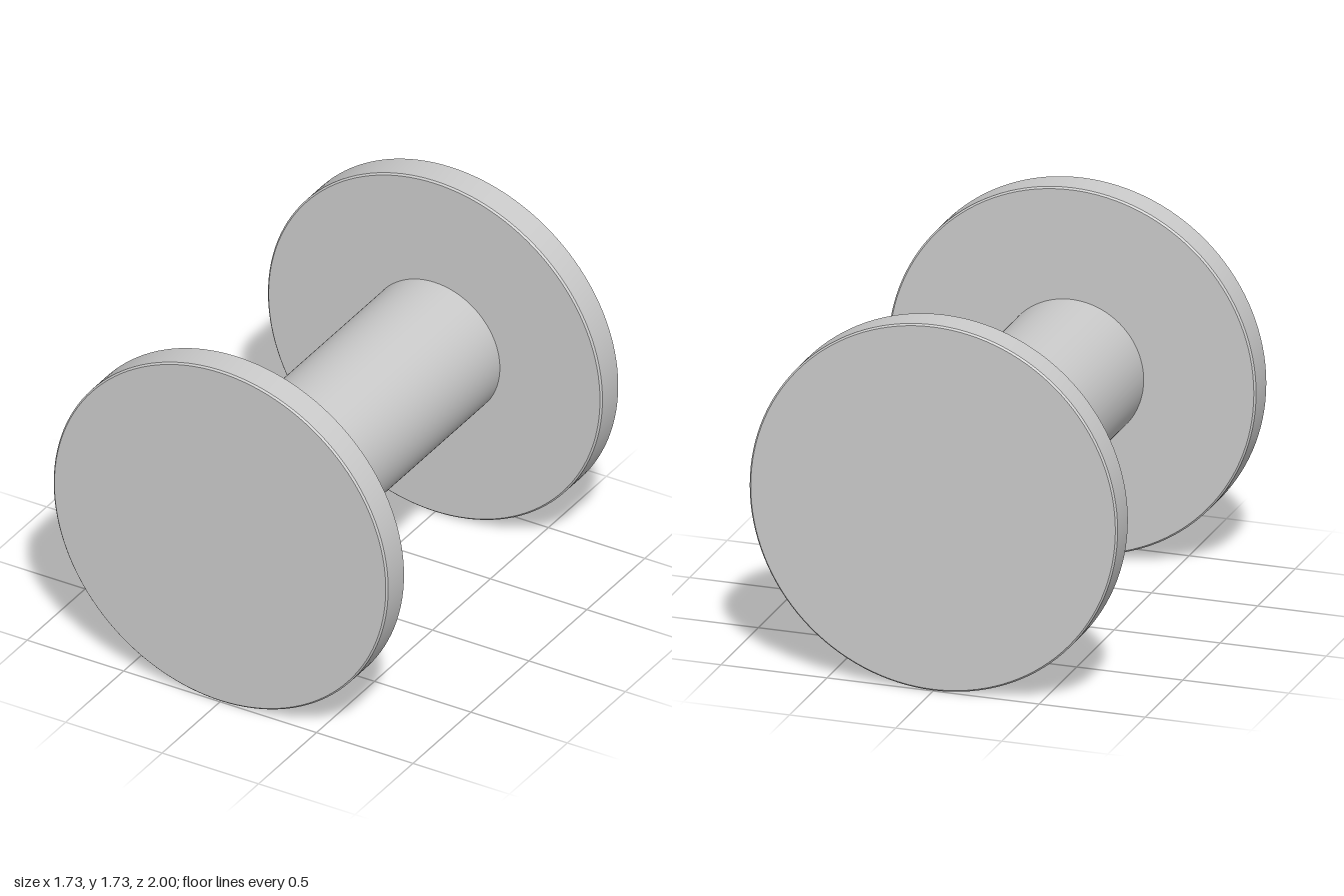
import * as THREE from 'three';
import { toCreasedNormals } from 'three/addons/utils/BufferGeometryUtils.js';

const RADIUS = 0.867;     // end discs
const THICKNESS = 0.152;
const CORE_RADIUS = 0.34;
const BEVEL = 0.008;
const SEGMENTS = 128;

// Disc with slightly softened rims, its axis along z
function discGeometry() {
  const h = THICKNESS / 2;
  const profile = [
    [0, -h], [RADIUS - BEVEL, -h], [RADIUS, -h + BEVEL],
    [RADIUS, h - BEVEL], [RADIUS - BEVEL, h], [0, h],
  ].map(([r, y]) => new THREE.Vector2(r, y));
  const lathe = new THREE.LatheGeometry(profile, SEGMENTS);
  return toCreasedNormals(lathe, 0.5).rotateX(Math.PI / 2);
}

export function createModel() {
  const group = new THREE.Group();
  group.name = 'spool';
  const material = new THREE.MeshStandardMaterial({ color: 0xcccccc });

  const add = (name, geometry, z) => {
    const mesh = new THREE.Mesh(geometry, material);
    mesh.name = name;
    mesh.position.set(0, RADIUS, z);
    group.add(mesh);
  };

  // End discs
  const disc = discGeometry();
  const offset = 1 - THICKNESS / 2;
  add('frontDisc', disc, offset);
  add('backDisc', disc, -offset);

  // Core between the inner faces of the discs
  const length = 2 * (1 - THICKNESS);
  const core = new THREE.CylinderGeometry(CORE_RADIUS, CORE_RADIUS, length, SEGMENTS, 1, true);
  add('core', core.rotateX(Math.PI / 2), 0);

  return group;
}
